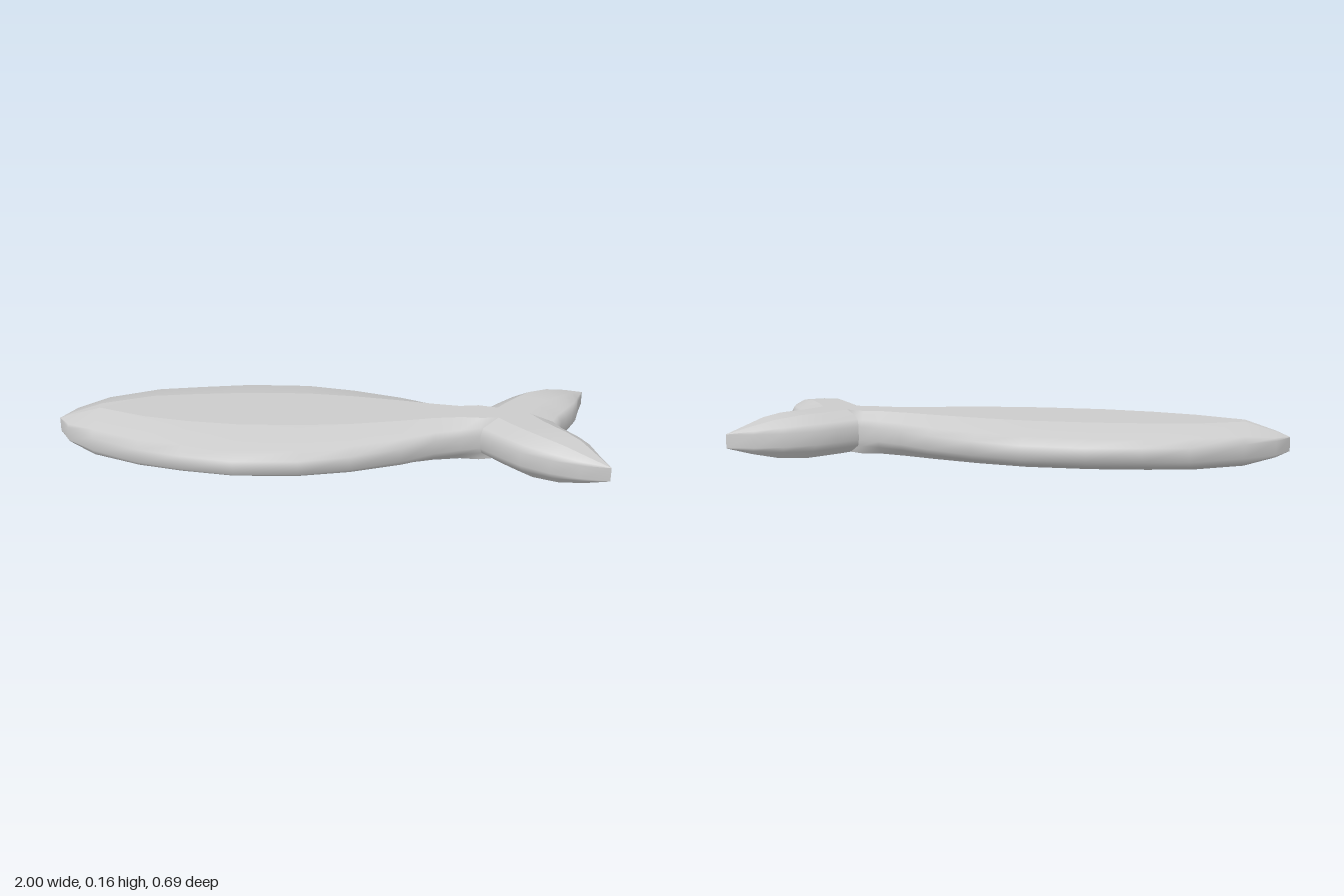
import * as THREE from 'three';

const MID = 0.08;   // height of the middle plane
const RIM = 0.025;  // half height of the outer rim

const material = new THREE.MeshStandardMaterial({ color: 0xcccccc, side: THREE.DoubleSide });

// Skins one strip of the ring; each strip keeps its own smooth normals
function loftStrip(rows) {
  const n = rows[0].length, index = [];
  for (let i = 0; i < rows.length - 1; i++) {
    for (let j = 0; j < n - 1; j++) {
      const a = i * n + j, b = a + n;
      index.push(a, a + 1, b, a + 1, b + 1, b);
    }
  }
  const geometry = new THREE.BufferGeometry();
  geometry.setAttribute('position', new THREE.Float32BufferAttribute(rows.flat(2), 3));
  geometry.setIndex(index);
  geometry.computeVertexNormals();
  return geometry;
}

// Section: a and b are the [x, z] rim points, h the half height,
// top and bottom the share of the width that is flat
function pillow(name, sections) {
  const strips = {
    Top: ({ h, top }) => [[-top, h], [top, h]],
    SideA: (s) => side(s, 1),
    Bottom: ({ h, bottom }) => [[bottom, -h], [-bottom, -h]],
    SideB: (s) => side(s, -1).reverse(),
  };
  const group = new THREE.Group();
  group.name = name;
  for (const [label, outline] of Object.entries(strips)) {
    const rows = sections.map((s) => outline(s).map(([t, y]) => {
      const k = (t + 1) / 2;
      return [s.b[0] + (s.a[0] - s.b[0]) * k, MID + y, s.b[1] + (s.a[1] - s.b[1]) * k];
    }));
    const mesh = new THREE.Mesh(loftStrip(rows), material);
    mesh.name = name + label;
    group.add(mesh);
  }
  return group;
}

// Bevelled flank from the top flat round the rim to the bottom flat
function side({ h, top, bottom }, sign) {
  const shoulder = RIM + (h - RIM) * 0.45;
  return [[top, h], [0.88, shoulder], [1, RIM], [1, -RIM], [0.88, -shoulder], [bottom, -h]]
    .map(([t, y]) => [t * sign, y]);
}

// Body stations: x, front half width, back half width, half height, flat share
const BODY = [
  [-1, 0, 0, 0.026, 0.1],
  [-0.95, 0.085, 0.085, 0.046, 0.1],
  [-0.84, 0.17, 0.17, 0.08, 0.12],
  [-0.66, 0.26, 0.27, 0.08, 0.36],
  [-0.5, 0.305, 0.305, 0.08, 0.41],
  [-0.31, 0.34, 0.34, 0.08, 0.43],
  [-0.08, 0.33, 0.34, 0.08, 0.44],
  [0.1, 0.285, 0.295, 0.08, 0.44],
  [0.28, 0.21, 0.225, 0.08, 0.43],
  [0.4, 0.14, 0.16, 0.08, 0.44],
  [0.5, 0.105, 0.122, 0.08, 0.45],
  [0.57, 0.085, 0.108, 0.08, 0.6],
  [0.64, 0.06, 0.07, 0.08, 0.7],
  [0.7, 0, 0, 0.079, 0.7],
];

// Tail lobe stations: outer x, z, inner x, z, half height
const LOBE = [
  [0.5, 0, 0.86, 0, 0.08],
  [0.58, 0.1, 0.88, 0.05, 0.08],
  [0.64, 0.165, 0.905, 0.09, 0.08],
  [0.7, 0.225, 0.93, 0.13, 0.08],
  [0.8, 0.285, 0.955, 0.18, 0.07],
  [0.9, 0.32, 0.972, 0.245, 0.05],
  [1, 0.335, 1, 0.335, 0.026],
];

// sign +1 is the front lobe, -1 the back lobe
function tailLobe(name, sign, stretch) {
  return pillow(name, LOBE.map(([ox, oz, ix, iz, h]) => {
    const outer = [ox, oz * sign * stretch], inner = [ix, iz * sign * stretch];
    return { a: sign > 0 ? outer : inner, b: sign > 0 ? inner : outer, h, top: 0.42, bottom: 0.55 };
  }));
}

export function createModel() {
  const model = new THREE.Group();
  model.name = 'flatFish';
  model.add(
    pillow('body', BODY.map(([x, front, back, h, flat]) => (
      { a: [x, front], b: [x, -back], h, top: flat, bottom: Math.min(flat * 1.3, 0.8) }))),
    tailLobe('frontTailLobe', 1, 0.98),
    tailLobe('backTailLobe', -1, 1.03),
  );
  return model;
}
